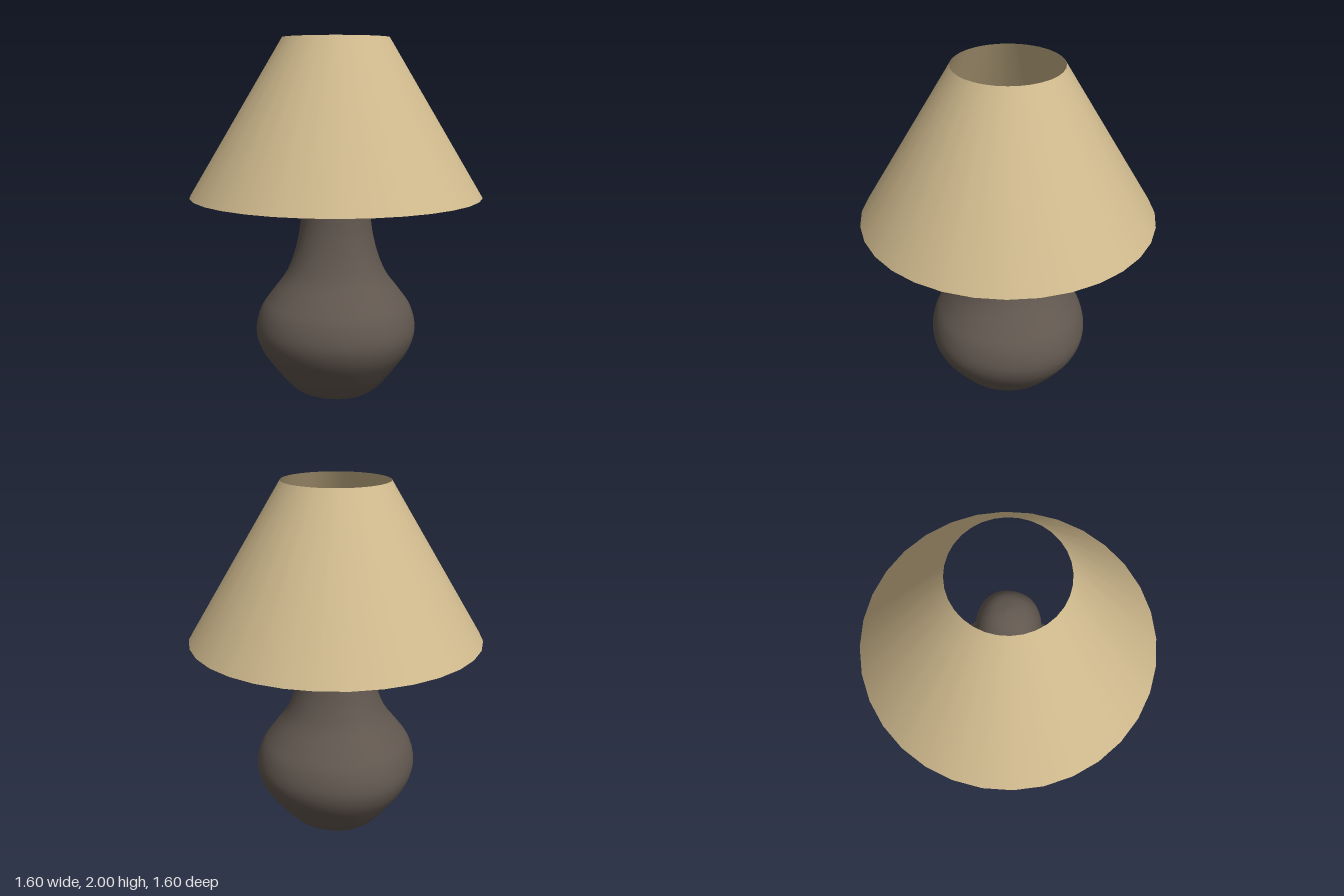
import * as THREE from 'three';
import { mergeVertices } from 'three/addons/utils/BufferGeometryUtils.js';

// Gourd-shaped base: a smooth lathe, very slightly squared towards its diagonals
function baseGeometry() {
  const profile = [
    [0, 0.005], [0.1, 0.01], [0.185, 0.03], [0.26, 0.083], [0.355, 0.2], [0.42, 0.3],
    [0.445, 0.4], [0.42, 0.51], [0.36, 0.6], [0.285, 0.7], [0.24, 0.8], [0.212, 0.9],
    [0.195, 1.0], [0.183, 1.15], [0.174, 1.3], [0.165, 1.43], [0.14, 1.52], [0.085, 1.585], [0, 1.61],
  ].map(([r, y]) => new THREE.Vector2(r, y));
  const points = new THREE.SplineCurve(profile).getPoints(72);
  points.forEach((p) => { p.x = Math.max(p.x, 0); p.y = Math.max(p.y, 0); });
  points[0].set(0, 0);

  const lathe = new THREE.LatheGeometry(points, 64);
  const pos = lathe.attributes.position;
  for (let i = 0; i < pos.count; i++) {
    const x = pos.getX(i), z = pos.getZ(i);
    const k = 1 + 0.014 * (1 - Math.cos(4 * Math.atan2(z, x)));
    pos.setX(i, x * k);
    pos.setZ(i, z * k);
  }
  lathe.deleteAttribute('uv');
  lathe.deleteAttribute('normal');
  const geometry = mergeVertices(lathe, 1e-5);
  geometry.computeVertexNormals();
  return geometry;
}

export function createModel() {
  const group = new THREE.Group();
  group.name = 'tableLamp';

  const base = new THREE.Mesh(baseGeometry(), new THREE.MeshStandardMaterial({ color: 0x61574f }));
  base.name = 'base';
  group.add(base);

  // Thin conical shade, open at both ends
  const bottom = 1.15, top = 2;
  const shade = new THREE.Mesh(
    new THREE.CylinderGeometry(0.29, 0.8, top - bottom, 32, 1, true),
    new THREE.MeshStandardMaterial({ color: 0xd0ba8e, side: THREE.DoubleSide }),
  );
  shade.name = 'lampshade';
  shade.position.y = (top + bottom) / 2;
  group.add(shade);

  return group;
}
